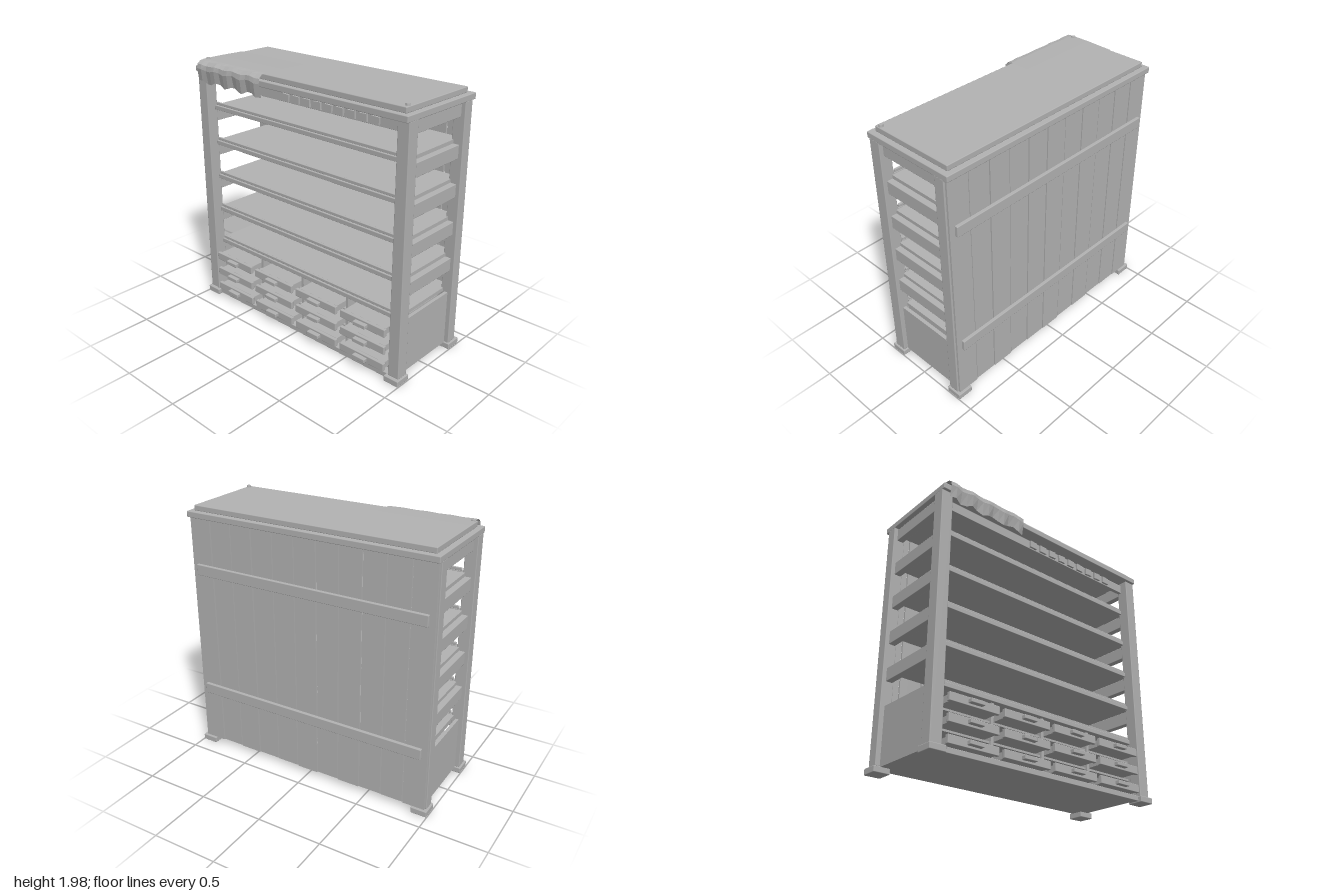
import * as THREE from 'three';
import { RoundedBoxGeometry } from 'three/addons/geometries/RoundedBoxGeometry.js';

export function createModel() {
  const root = new THREE.Group();
  root.name = 'shelfCabinet';
  const grey = new THREE.MeshStandardMaterial({ name: 'plainGrey', color: 0xb2b2b2 });
  const greyCloth = grey.clone();
  greyCloth.name = 'plainGreyCloth';
  greyCloth.side = THREE.DoubleSide;
  greyCloth.flatShading = true;

  // Box from its limits on each axis, with an optional small bevel
  const box = (name, x0, x1, y0, y1, z0, z1, bevel = 0) => {
    const s = [x1 - x0, y1 - y0, z1 - z0];
    const geo = bevel ? new RoundedBoxGeometry(...s, 1, bevel) : new THREE.BoxGeometry(...s);
    const mesh = new THREE.Mesh(geo, grey);
    mesh.name = name;
    mesh.position.set((x0 + x1) / 2, (y0 + y1) / 2, (z0 + z1) / 2);
    root.add(mesh);
    return mesh;
  };
  // The same box on both sides
  const pair = (name, x0, x1, ...rest) => {
    box(name + 'Left', x0, x1, ...rest);
    box(name + 'Right', -x1, -x0, ...rest);
  };

  // Feet and corner posts
  pair('frontFoot', 0.875, 0.998, 0, 0.046, 0.235, 0.36, 0.006);
  pair('backFoot', 0.875, 0.998, 0, 0.046, -0.385, -0.26, 0.006);
  pair('frontPost', 0.895, 0.985, 0.046, 1.885, 0.245, 0.337, 0.005);
  pair('backPost', 0.895, 0.985, 0.046, 1.885, -0.352, -0.27, 0.005);

  // Base
  box('baseBoard', -0.95, 0.95, 0.04, 0.062, -0.35, 0.27);
  box('plinthRail', -0.89, 0.89, 0.01, 0.05, 0.25, 0.33, 0.004);

  // Shelves with a nosing and raised lip along the front
  for (let i = 0; i < 5; i++) {
    const y = 0.46 + i * 0.2815;
    box('shelf', -0.91, 0.91, y, y + 0.027, -0.345, 0.25);
    box('shelfNosing', -0.888, 0.888, y, y + 0.034, 0.245, 0.275, 0.004);
    box('shelfLip', -0.884, 0.884, y + 0.034, y + 0.056, 0.245, 0.262, 0.003);
    if (i) pair('sideRail', 0.905, 0.955, y - 0.1, y, -0.275, 0.25, 0.004);
  }
  pair('topSideRail', 0.905, 0.955, 1.778, 1.875, -0.275, 0.25, 0.004);
  pair('lowerSidePanel', 0.925, 0.95, 0.055, 0.462, -0.275, 0.25);

  // Drawer bays, trays and pulls
  for (const x of [-0.443, 0, 0.443]) box('drawerDivider', x - 0.011, x + 0.011, 0.06, 0.46, -0.345, 0.25);
  for (const y of [0.181, 0.319]) box('drawerRunner', -0.89, 0.89, y, y + 0.015, -0.345, 0.235);
  for (let c = 0; c < 4; c++) {
    for (let r = 0; r < 3; r++) {
      const x = (c - 1.5) * 0.443, y = 0.064 + r * 0.138;
      box('drawerTray', x - 0.185, x + 0.185, y + 0.004, y + 0.052, -0.3, 0.33);
      box('drawerFront', x - 0.2, x + 0.2, y, y + 0.06, 0.325, 0.354, 0.004);
      const pull = box('drawerPull', x - 0.055, x + 0.055, y + 0.016, y + 0.046, 0.35, 0.388, 0.005);
      pull.rotation.z = ((c * 3 + r * 5) % 4 - 1.5) * 0.015;
    }
  }

  // Vertical back boards and their two battens
  const pitch = 0.1775;
  for (let i = 0; i < 11; i++) {
    const x = (i - 5) * pitch;
    const shift = ((i * 7) % 5) * 0.001;
    box('backBoard', x - 0.085, x + 0.085, 0.045 + shift * 2, 1.88, -0.366 + shift, -0.352 + shift);
  }
  for (const y of [0.46, 1.45]) box('backBatten', -0.93, 0.93, y, y + 0.082, -0.39, -0.362, 0.005);

  // Front header with a row of small blocks
  box('header', -0.895, 0.895, 1.79, 1.862, 0.25, 0.28, 0.003);
  for (let i = 0; i < 9; i++) {
    const x = -0.102 + i * 0.099;
    const block = box('headerBlock', x - 0.031, x + 0.031, 1.8, 1.853, 0.278, 0.296);
    block.rotation.z = ((i * 5) % 4 - 1.5) * 0.03;
  }

  // Top slab, upper panel and two pegs
  box('topSlab', -0.985, 0.985, 1.88, 1.926, -0.388, 0.357, 0.006);
  box('topPanel', -0.945, 0.945, 1.924, 1.966, -0.348, 0.318, 0.006);
  for (const x of [-0.925, 0.925]) {
    const peg = new THREE.Mesh(new THREE.CylinderGeometry(0.014, 0.016, 0.018, 12), grey);
    peg.name = 'topPeg';
    peg.position.set(x, 1.972, 0.28);
    root.add(peg);
  }

  // Cloth draped over the front edge: profile [z, y, amount of waviness]
  const profile = [[-0.065, 1.97, 0], [0.15, 1.975, 0], [0.31, 1.974, 0], [0.345, 1.968, 0.1],
    [0.374, 1.945, 0.3], [0.38, 1.91, 0.5], [0.366, 1.815, 1]];
  const cols = 14, rows = profile.length - 1;
  const cloth = new THREE.PlaneGeometry(1, 1, cols, rows);
  const pos = cloth.attributes.position;
  for (let j = 0; j <= rows; j++) {
    for (let i = 0; i <= cols; i++) {
      const [z, y, w] = profile[j];
      const wave = Math.sin(i * 1.7 + 0.6);
      pos.setXYZ(j * (cols + 1) + i, -0.94 + (0.665 * i) / cols,
        y + 0.016 * w * wave, z + 0.009 * w * Math.sin(i * 2.1));
    }
  }
  cloth.computeVertexNormals();
  // Rows run back to front, so the upper side is already the front face
  const drape = new THREE.Mesh(cloth, greyCloth);
  drape.name = 'drapedCloth';
  root.add(drape);

  return root;
}
